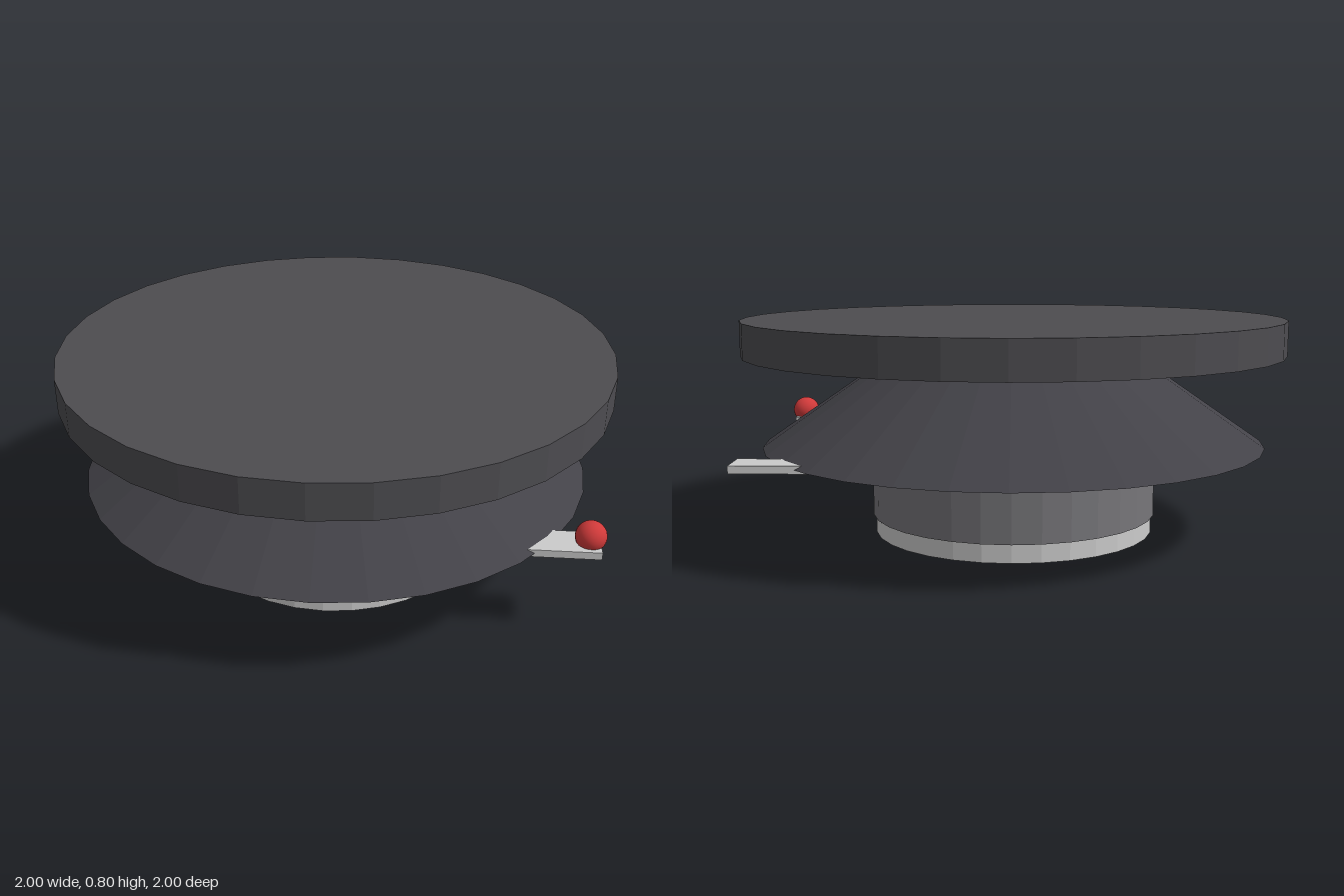
import * as THREE from 'three';

const SIDES = 32;

function material(color) {
  return new THREE.MeshStandardMaterial({ color, flatShading: true });
}

// Round section standing between two heights
function drum(name, bottomRadius, topRadius, y0, y1, color) {
  const geometry = new THREE.CylinderGeometry(topRadius, bottomRadius, y1 - y0, SIDES);
  const mesh = new THREE.Mesh(geometry, material(color));
  mesh.name = name;
  mesh.position.y = (y0 + y1) / 2;
  return mesh;
}

export function createModel() {
  const model = new THREE.Group();
  model.name = 'steppedDisc';

  // Stacked body, from the ground up
  model.add(
    drum('baseRing', 0.523, 0.523, 0, 0.067, 0xcccccc),
    drum('lowerDrum', 0.533, 0.533, 0.067, 0.335, 0x77767a),
    drum('flaredSkirt', 0.932, 0.44, 0.335, 0.675, 0x434248),
    drum('topDisc', 1, 1, 0.673, 0.8, 0x4d4c50)
  );

  // Pair of flat tabs sticking out on the left side
  for (const side of [1, -1]) {
    const tab = new THREE.Mesh(new THREE.BoxGeometry(0.267, 0.027, 0.127), material(0xcccccc));
    tab.name = side > 0 ? 'frontTab' : 'backTab';
    tab.position.set(0.797, 0.335, side * 0.533);
    model.add(tab);
  }

  // Red ball resting on the front tab
  const ball = new THREE.Mesh(
    new THREE.SphereGeometry(0.053, 24, 16),
    new THREE.MeshStandardMaterial({ color: 0xd03a3a })
  );
  ball.name = 'ball';
  ball.position.set(0.897, 0.373, 0.533);
  model.add(ball);

  return model;
}
